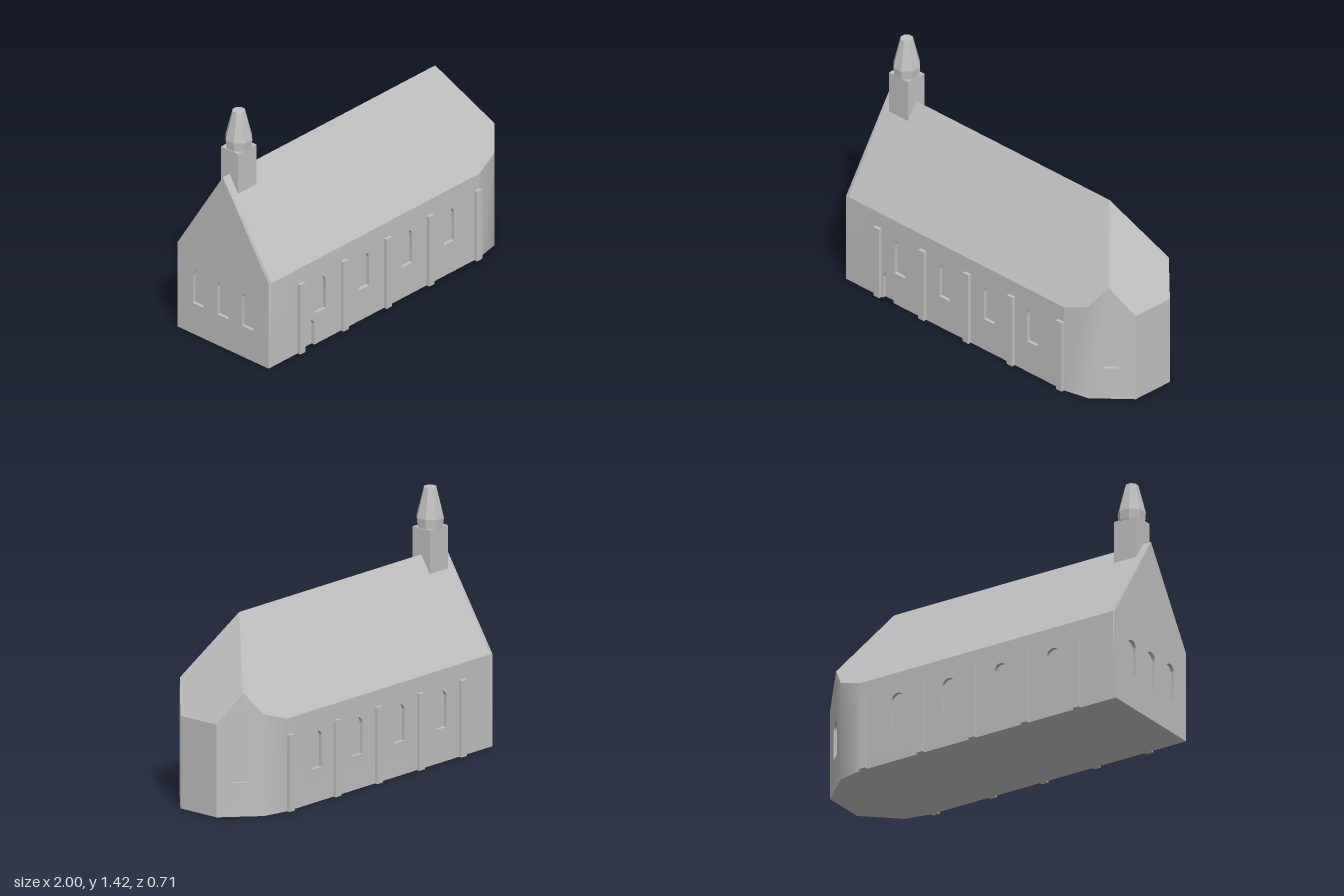
import * as THREE from 'three';
import { mergeGeometries, toCreasedNormals } from 'three/addons/utils/BufferGeometryUtils.js';

const RECESS = 0.02;
const EAVE = 0.52, RIDGE = 1.055, HALF = 0.337;

// Round-headed opening centred on u, used for holes and the panes behind them
function arch(path, u, y0, y1, w = 0.08) {
  const r = w / 2;
  path.moveTo(u - r, y0);
  path.lineTo(u + r, y0);
  path.lineTo(u + r, y1 - r);
  path.absarc(u, y1 - r, r, 0, Math.PI, false);
  path.closePath();
  return path;
}

// Flat faces built from convex polygons, corners counter-clockwise from outside
function polygons(list) {
  const pos = [];
  for (const p of list)
    for (let i = 1; i < p.length - 1; i++) pos.push(...p[0], ...p[i], ...p[i + 1]);
  const g = new THREE.BufferGeometry();
  g.setAttribute('position', new THREE.Float32BufferAttribute(pos, 3));
  g.computeVertexNormals();
  return g;
}

export function createModel() {
  const model = new THREE.Group();
  model.name = 'chapel';
  const stone = new THREE.MeshStandardMaterial({ color: 0xc0c0c0 });
  stone.name = 'light grey stone';
  const add = (name, geo, x = 0, y = 0, z = 0) => {
    const m = new THREE.Mesh(geo, stone);
    m.name = name;
    m.position.set(x, y, z);
    model.add(m);
    return m;
  };

  const wallGeos = [], paneGeos = [];
  // Wall from a to b (plan x, z; a is on the left seen from outside).
  // top: [u, y] points from right to left; door: centre of an arched doorway
  function wall(a, b, top, windows = [], door = null) {
    const dx = b[0] - a[0], dz = b[1] - a[1], len = Math.hypot(dx, dz);
    const u = new THREE.Vector3(dx / len, 0, dz / len);
    const up = new THREE.Vector3(0, 1, 0);
    const frame = new THREE.Matrix4().makeBasis(u, up, u.clone().cross(up));
    frame.setPosition(a[0], 0, a[1]);
    const extrude = (shape, depth, back) =>
      new THREE.ExtrudeGeometry(shape, { depth, bevelEnabled: false, curveSegments: 10 })
        .translate(0, 0, -back).applyMatrix4(frame);
    const pane = (c, y0, y1) =>
      paneGeos.push(extrude(arch(new THREE.Shape(), c, y0, y1, 0.082), 0.009, RECESS + 0.009));

    const s = new THREE.Shape();
    s.moveTo(0, 0);
    if (door !== null) {
      s.lineTo(door - 0.04, 0);
      s.lineTo(door - 0.04, 0.125);
      s.absarc(door, 0.125, 0.04, Math.PI, 0, true);
      s.lineTo(door + 0.04, 0);
      pane(door, 0, 0.165);
    }
    s.lineTo(len, 0);
    for (const [tu, ty] of top) s.lineTo(tu < 0 ? len : tu, ty);
    s.closePath();
    for (const c of windows) {
      s.holes.push(arch(new THREE.Path(), c, 0.19, 0.4));
      pane(c, 0.19, 0.4);
    }
    wallGeos.push(extrude(s, RECESS, RECESS));
  }

  // Plan corners and the top of the slanted apse wall
  const cornerY = 0.571, apex = [0.893, 0.693, 0.228];
  const A = [-1, HALF], B = [0.66, HALF], C = [0.81, 0.305], D = [1, 0.13];
  const flip = ([x, z]) => [x, -z];
  const bays = [-0.59, -0.25, 0.09, 0.42];
  const sideLen = B[0] - A[0];
  const shortLen = Math.hypot(B[0] - C[0], B[1] - C[1]);
  const diagLen = Math.hypot(C[0] - D[0], C[1] - D[1]);
  const apexU = Math.hypot(apex[0] - C[0], apex[2] - C[1]);

  // Front and back side walls, apse walls, east end and gable end
  wall(A, B, [[sideLen, EAVE], [0, EAVE]], bays.map(x => x + 1), 0.32);
  wall(flip(B), flip(A), [[sideLen, EAVE], [0, EAVE]], bays.map(x => B[0] - x));
  wall(B, C, [[shortLen, cornerY], [0, EAVE]]);
  wall(flip(C), flip(B), [[shortLen, EAVE], [0, cornerY]]);
  wall(C, D, [[diagLen, EAVE], [apexU, apex[1]], [0, cornerY]], [diagLen / 2]);
  wall(flip(D), flip(C), [[diagLen, cornerY], [diagLen - apexU, apex[1]], [0, EAVE]], [diagLen / 2]);
  wall(D, flip(D), [[2 * D[1], EAVE], [0, EAVE]]);
  wall(flip(A), A, [[2 * HALF, EAVE], [HALF, RIDGE], [0, EAVE]], [-0.182, 0, 0.182].map(z => z + HALF));
  add('walls', toCreasedNormals(mergeGeometries(wallGeos), 0.68));
  add('windowAndDoorPanes', mergeGeometries(paneGeos));

  // Roof: two long slopes and the hipped end
  const slope = [
    [-1, EAVE, HALF], [B[0], EAVE, HALF], [C[0], cornerY, C[1]], apex,
    [0.67, RIDGE, 0], [-1, RIDGE, 0],
  ];
  const mirror = ([x, y, z]) => [x, y, -z];
  const hip = [[1, EAVE, D[1]], [1, EAVE, -D[1]], mirror(apex), [0.67, RIDGE, 0], apex];
  add('roof', polygons([slope, slope.map(mirror).reverse(), hip]));

  // Floor underside
  const plan = [A, B, C, D, flip(D), flip(C), flip(B), flip(A)];
  add('floor', polygons([plan.map(([x, z]) => [x, 0, z]).reverse()]));

  // Buttresses along both sides
  for (const side of [1, -1])
    for (const x of [-0.75, -0.41, -0.07, 0.265, 0.64])
      add('buttress', new THREE.BoxGeometry(0.042, 0.43, 0.04), x, 0.215, side * (HALF - 0.0));

  // Bell tower and eight-sided spire
  const tx = -0.875;
  add('bellTower', new THREE.BoxGeometry(0.145, 0.26, 0.125), tx, 1.07, 0);
  const ring = (name, rTop, rBottom, y0, y1) => {
    const g = new THREE.CylinderGeometry(rTop, rBottom, y1 - y0, 8, 1, false, Math.PI / 8);
    add(name, toCreasedNormals(g, 0.1), tx, (y0 + y1) / 2, 0);
  };
  ring('spireBase', 0.078, 0.073, 1.197, 1.252);
  ring('spire', 0.036, 0.078, 1.252, 1.42);

  return model;
}
